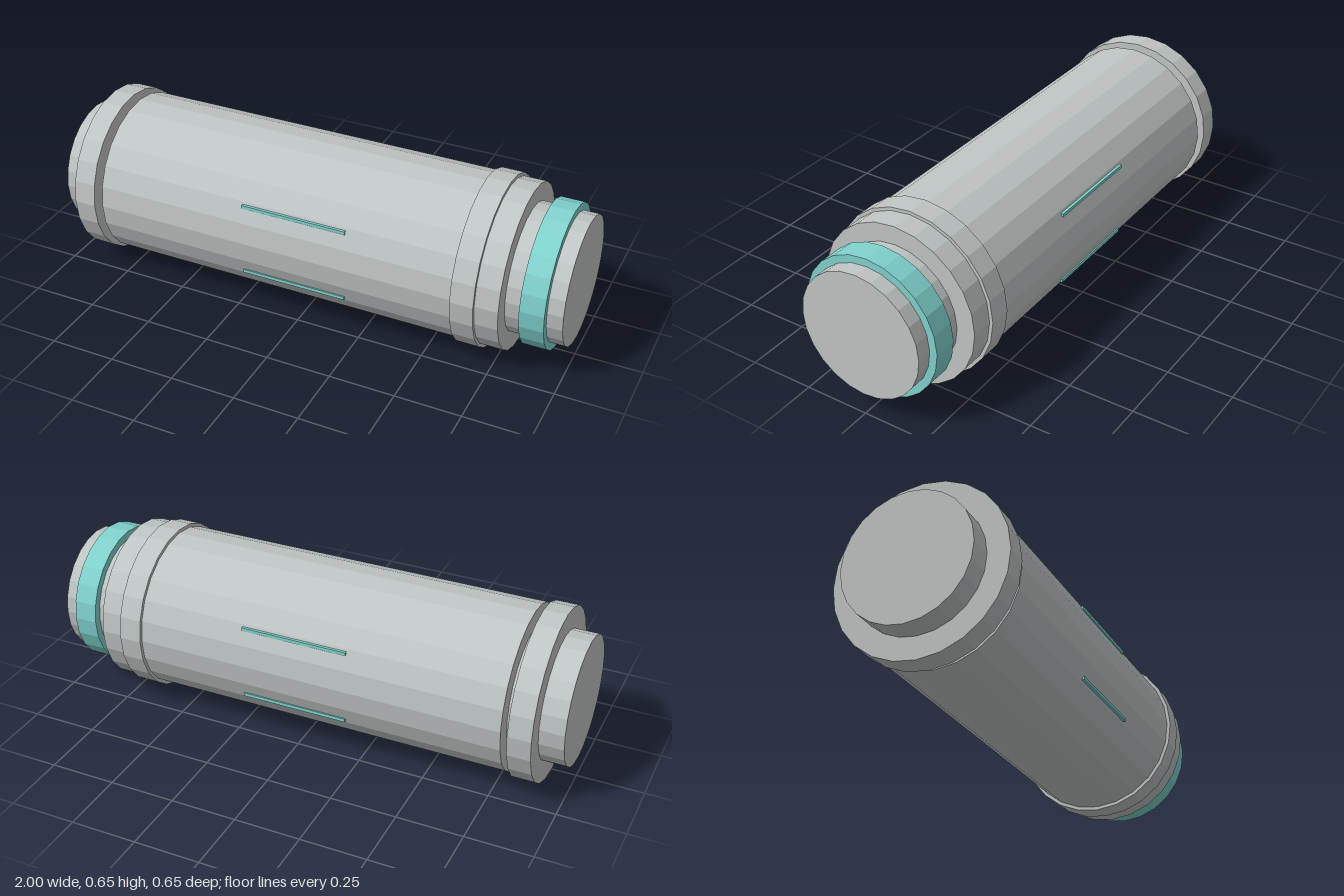
import * as THREE from 'three';

export function createModel() {
  const model = new THREE.Group();
  const metal = new THREE.MeshStandardMaterial({ name: 'paleGrey', color: 0xc0c6c5, flatShading: true });
  const teal = new THREE.MeshStandardMaterial({ name: 'teal', color: 0x80d2cd, flatShading: true });
  const axisY = 0.324;

  // 24-sided drum lying along x, from x0 to x1
  function drum(name, radius, x0, x1, material) {
    const geometry = new THREE.CylinderGeometry(radius, radius, x1 - x0, 24);
    geometry.rotateZ(-Math.PI / 2);
    const mesh = new THREE.Mesh(geometry, material);
    mesh.name = name;
    mesh.position.set((x0 + x1) / 2, axisY, 0);
    model.add(mesh);
  }

  drum('core', 0.241, -1, 1, metal);
  drum('body', 0.311, -0.795, 0.792, metal);
  drum('rearFlange', 0.324, -0.908, -0.822, metal);
  drum('frontCollar', 0.324, 0.62, 0.706, metal);
  drum('glowRing', 0.27, 0.852, 0.942, teal);

  // Four slim light strips set into the body
  for (const sy of [-1, 1]) {
    for (const sz of [-1, 1]) {
      const strip = new THREE.Mesh(new THREE.BoxGeometry(0.41, 0.013, 0.013), teal);
      strip.name = 'lightStrip';
      strip.position.set(0, axisY + sy * 0.14, sz * 0.277);
      model.add(strip);
    }
  }
  return model;
}
